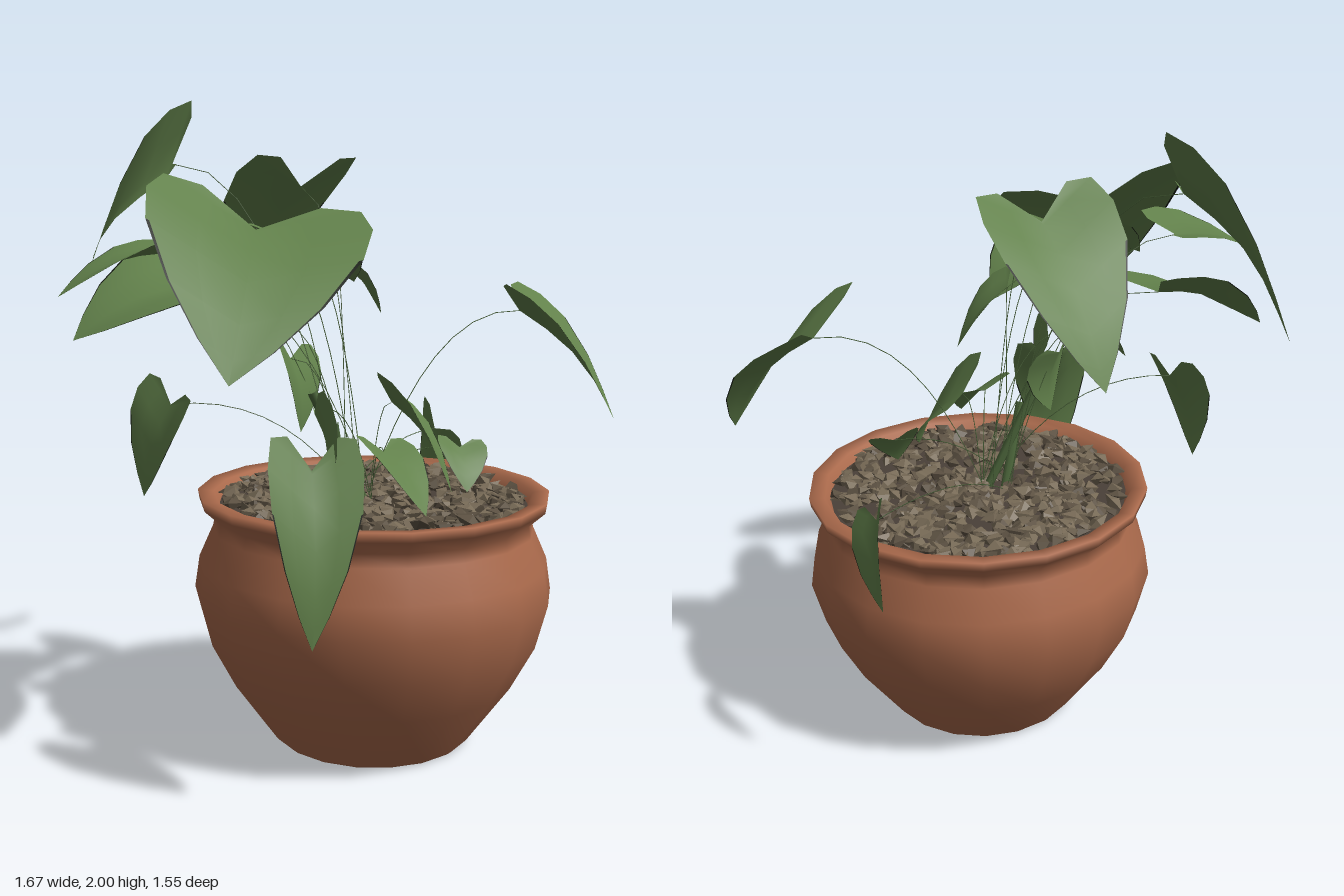
import * as THREE from 'three';
import { mergeGeometries } from 'three/addons/utils/BufferGeometryUtils.js';

const mat = (name, color, side = THREE.FrontSide) => {
  const m = new THREE.MeshStandardMaterial({ color, side });
  m.name = name;
  return m;
};

// Half outline of a heart-shaped leaf: [along midrib, across]
const HALF = [[0, 0], [-0.07, 0.6], [0.02, 1], [0.22, 1.12], [0.45, 1.05], [0.7, 0.74], [0.88, 0.36], [1, 0]];
// Columns across the leaf; the outermost strips form the dark rim
const COLS = [-1, -0.96, -0.5, 0, 0.5, 0.96, 1];

// Heart leaf from notch to tip, rolled about its midrib, folded and bowed
function leafGeometry(notch, tip, halfWidth, roll) {
  const axis = tip.clone().sub(notch);
  const dir = axis.clone().normalize();
  const side = new THREE.Vector3(-axis.z, 0, axis.x).normalize().applyAxisAngle(dir, -roll);
  const up = side.clone().cross(dir);
  const pos = [], blade = [], rim = [];
  HALF.forEach(([u, v], i) => {
    const mid = Math.max(0, u);
    const bow = 0.09 * axis.length() * Math.sin(Math.PI * mid);
    COLS.forEach((f, k) => {
      const w = Math.abs(v * f);
      const p = notch.clone()
        .addScaledVector(axis, mid + (u - mid) * Math.abs(f) - 0.2 * w)
        .addScaledVector(side, v * f * halfWidth)
        .addScaledVector(up, bow + 0.15 * w * halfWidth);
      pos.push(p.x, p.y, p.z);
      if (i === 0 || k === COLS.length - 1) return;
      const b = i * COLS.length + k, a = b - COLS.length;
      const outer = i > 4 && (k === 0 || k === COLS.length - 2);
      (outer ? rim : blade).push(a, a + 1, b, a + 1, b + 1, b);
    });
  });
  const g = new THREE.BufferGeometry();
  g.setAttribute('position', new THREE.Float32BufferAttribute(pos, 3));
  g.setIndex([...blade, ...rim]);
  g.addGroup(0, blade.length, 0);
  g.addGroup(blade.length, rim.length, 1);
  g.computeVertexNormals();
  return g;
}

// Leaves: notch xyz, tip xyz, half width, roll
const LEAVES = [
  [0.55, 1.34, 0.46, 0.68, 1.0, 0.74, 0.25, 0.09],
  [-0.42, 1.62, 0.22, -0.79, 1.25, 0.47, 0.28, 0.25],
  [-0.52, 1.55, -0.04, -0.83, 1.44, -0.14, 0.14, -0.07],
  [-0.3, 1.44, -0.17, -0.64, 1.29, -0.31, 0.21, 0.26],
  [-0.2, 1.8, -0.34, -0.17, 1.47, -0.77, 0.2, 0.86],
  [0.12, 1.73, -0.09, 0.19, 1.32, -0.42, 0.19, -0.03],
  [-0.16, 1.57, 0.13, 0.12, 1.44, 0.13, 0.17, -0.05],
  [-0.27, 1.57, 0.07, -0.42, 1.5, 0.02, 0.12, 0.35],
  [0.11, 1.08, 0.29, 0.11, 0.83, 0.52, 0.14, 0.55],
  [-0.12, 1.22, 0.08, -0.13, 1.0, 0.13, 0.13, 0.55],
  [-0.14, 1.33, 0.04, -0.3, 1.19, -0.04, 0.1, 0.2],
  [-0.12, 0.98, 0.44, -0.18, 0.83, 0.64, 0.09, 0.2],
  [0.29, 0.93, 0.42, 0.22, 0.81, 0.5, 0.075, 0.25],
  [-0.46, 0.98, 0.46, -0.55, 0.51, 0.54, 0.12, 0.25],
  [-0.45, 1.1, -0.1, -0.5, 0.82, -0.17, 0.13, 0.7],
  [0.64, 0.9, 0.07, 0.73, 0.68, -0.06, 0.11, -1.25],
  [-0.38, 1.12, 0.4, -0.41, 0.9, 0.48, 0.1, 1.25],
  [0.13, 1.5, 0.05, 0.27, 1.33, 0.12, 0.12, -0.2],
];

export function createModel() {
  const clay = mat('terracotta', 0xa9694b, THREE.DoubleSide);
  const green = mat('leaf green', 0x62814b, THREE.DoubleSide);
  const edge = mat('leaf edge dark', 0x141a10, THREE.DoubleSide);
  const stemGreen = mat('stem green', 0x4c663b);
  const earth = mat('earth', 0x4a4038);
  const stone = mat('gravel', 0x776a56);
  const darkStone = mat('dark gravel', 0x5c5142);

  const model = new THREE.Group();
  model.name = 'pottedPlant';
  const add = (parent, name, geo, m) => {
    const mesh = new THREE.Mesh(geo, m);
    mesh.name = name;
    parent.add(mesh);
    return mesh;
  };

  // Pot with dished foot, round belly and flared rim
  const pot = new THREE.Group();
  pot.name = 'pot';
  pot.position.set(0.11, 0, 0.22);
  model.add(pot);
  const profile = [[0, 0.03], [0.24, 0.03], [0.30, 0], [0.315, 0.012], [0.45, 0.2], [0.525, 0.34], [0.562, 0.48],
    [0.547, 0.58], [0.503, 0.68], [0.495, 0.72], [0.545, 0.765], [0.55, 0.795], [0.5, 0.79], [0.475, 0.74]];
  add(pot, 'potBody', new THREE.LatheGeometry(profile.map((p) => new THREE.Vector2(...p)), 18), clay);
  const soil = add(pot, 'soil', new THREE.CircleGeometry(0.485, 18).rotateX(-Math.PI / 2), earth);
  soil.position.y = 0.762;

  // Gravel scattered over the soil in two tones (octahedra keep their flat facets)
  let seed = 7;
  const rnd = () => (seed = (seed * 16807) % 2147483647) / 2147483647;
  const gravel = (name, count, material) => {
    const pebbles = [];
    for (let i = 0; i < count; i++) {
      const r = 0.465 * Math.sqrt(rnd()), a = rnd() * Math.PI * 2, s = 0.022 + rnd() * 0.014;
      const g = new THREE.OctahedronGeometry(s).rotateX(0.6);
      g.scale(1.3, 0.6, 0.9).rotateX(rnd() - 0.5).rotateZ(rnd() - 0.5).rotateY(rnd() * 6.28);
      g.translate(r * Math.cos(a), 0.768 + rnd() * 0.015, r * Math.sin(a));
      pebbles.push(g);
    }
    add(pot, name, mergeGeometries(pebbles), material);
  };
  gravel('gravel', 380, stone);
  gravel('darkGravel', 260, darkStone);

  // Leaves, each on a thread-thin arching stem
  const foliage = new THREE.Group();
  foliage.name = 'foliage';
  model.add(foliage);
  LEAVES.forEach(([nx, ny, nz, tx, ty, tz, halfWidth, roll], i) => {
    const notch = new THREE.Vector3(nx, ny, nz);
    const tip = new THREE.Vector3(tx, ty, tz);
    add(foliage, `leaf${i + 1}`, leafGeometry(notch, tip, halfWidth, roll), [green, edge]);
    const root = new THREE.Vector3(0.05 + 0.05 * Math.cos(i * 2.4), 0.76, 0.2 + 0.05 * Math.sin(i * 2.4));
    const bend = root.clone().lerp(notch, 0.4).setY(ny + 0.03);
    const curve = new THREE.QuadraticBezierCurve3(root, bend, notch);
    add(foliage, `stem${i + 1}`, new THREE.TubeGeometry(curve, 10, 0.0015, 3), stemGreen);
  });

  // Thicker main stalks in the middle
  [[0.07, 0.22, -0.09, 1.12, 0.14], [0.04, 0.17, -0.06, 1.03, 0.2]].forEach(([x, z, tx, ty, tz], i) => {
    const curve = new THREE.LineCurve3(new THREE.Vector3(x, 0.76, z), new THREE.Vector3(tx, ty, tz));
    add(foliage, `stalk${i + 1}`, new THREE.TubeGeometry(curve, 4, 0.015, 6), stemGreen);
  });
  return model;
}
